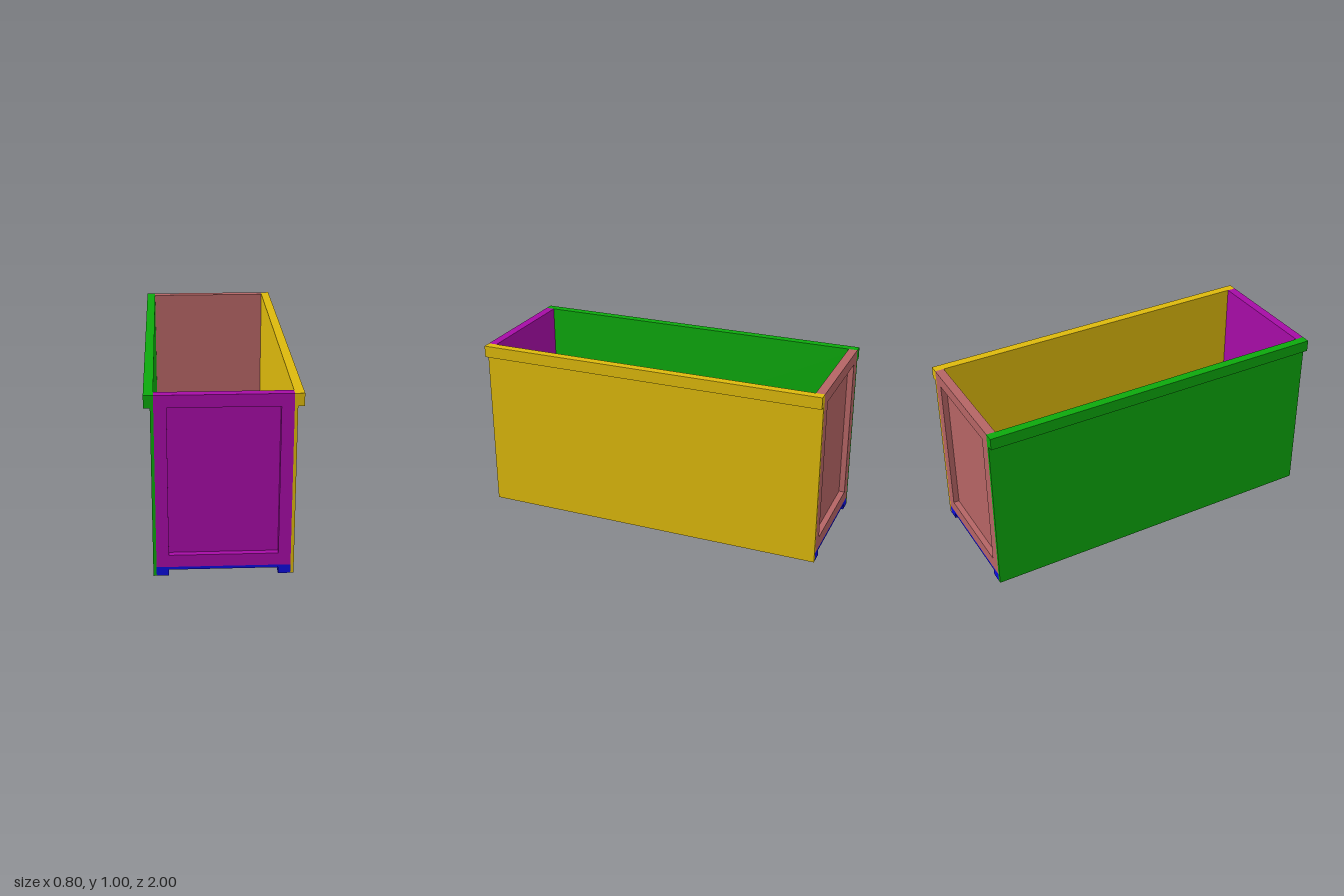
import * as THREE from 'three';

const LENGTH = 2, INNER = 0.35, OUTER = 0.367, RIM = 0.4;
const WALL = 0.017, END = 0.05, FLOOR = 0.05, OPENING = 0.285;

const material = (color) => new THREE.MeshStandardMaterial({ color });

function polygon(points) {
  return new THREE.Shape(points.map(([x, y]) => new THREE.Vector2(x, y)));
}

// Extrude an x-y outline along z, centred on z = 0
function extrude(shape, depth) {
  const geometry = new THREE.ExtrudeGeometry(shape, { depth, bevelEnabled: false });
  return geometry.translate(0, 0, -depth / 2);
}

function addMesh(parent, name, geometry, mat) {
  const mesh = new THREE.Mesh(geometry, mat);
  mesh.name = name;
  parent.add(mesh);
  return mesh;
}

// Long wall with a thicker rim along its top edge
function sideWall() {
  return extrude(polygon([
    [INNER, 0], [OUTER, 0], [OUTER, 0.933], [RIM, 0.933], [RIM, 1], [INNER, 1],
  ]), LENGTH);
}

// End wall: raised frame outside, thin panel flush with the inside
function endWall(name, color) {
  const group = new THREE.Group();
  group.name = name;
  const mat = material(color);
  const outline = polygon([[-INNER, FLOOR], [INNER, FLOOR], [INNER, 1], [-INNER, 1]]);
  const bottom = 0.118, top = 0.933;
  outline.holes.push(polygon([
    [-OPENING, bottom], [-OPENING, top], [OPENING, top], [OPENING, bottom],
  ]));
  addMesh(group, name + 'Frame', extrude(outline, END), mat)
    .position.z = LENGTH / 2 - END / 2;
  addMesh(group, name + 'Panel', new THREE.BoxGeometry(2 * OPENING, top - bottom, WALL), mat)
    .position.set(0, (top + bottom) / 2, LENGTH / 2 - END + WALL / 2);
  return group;
}

export function createModel() {
  const model = new THREE.Group();
  model.name = 'openCrate';

  // Side walls, the right one turned half round
  addMesh(model, 'leftWall', sideWall(), material(0xdcb80c));
  addMesh(model, 'rightWall', sideWall(), material(0x0ca80c)).rotation.y = Math.PI;

  // Front and back walls
  model.add(endWall('frontWall', 0xa50ca5));
  const back = endWall('backWall', 0xb46464);
  back.rotation.y = Math.PI;
  model.add(back);

  // Floor with a runner under each long edge
  const floor = polygon([
    [-INNER, 0], [-OPENING, 0], [-OPENING, 0.034], [OPENING, 0.034],
    [OPENING, 0], [INNER, 0], [INNER, FLOOR], [-INNER, FLOOR],
  ]);
  addMesh(model, 'floor', extrude(floor, LENGTH), material(0x0c0cdc));

  return model;
}
